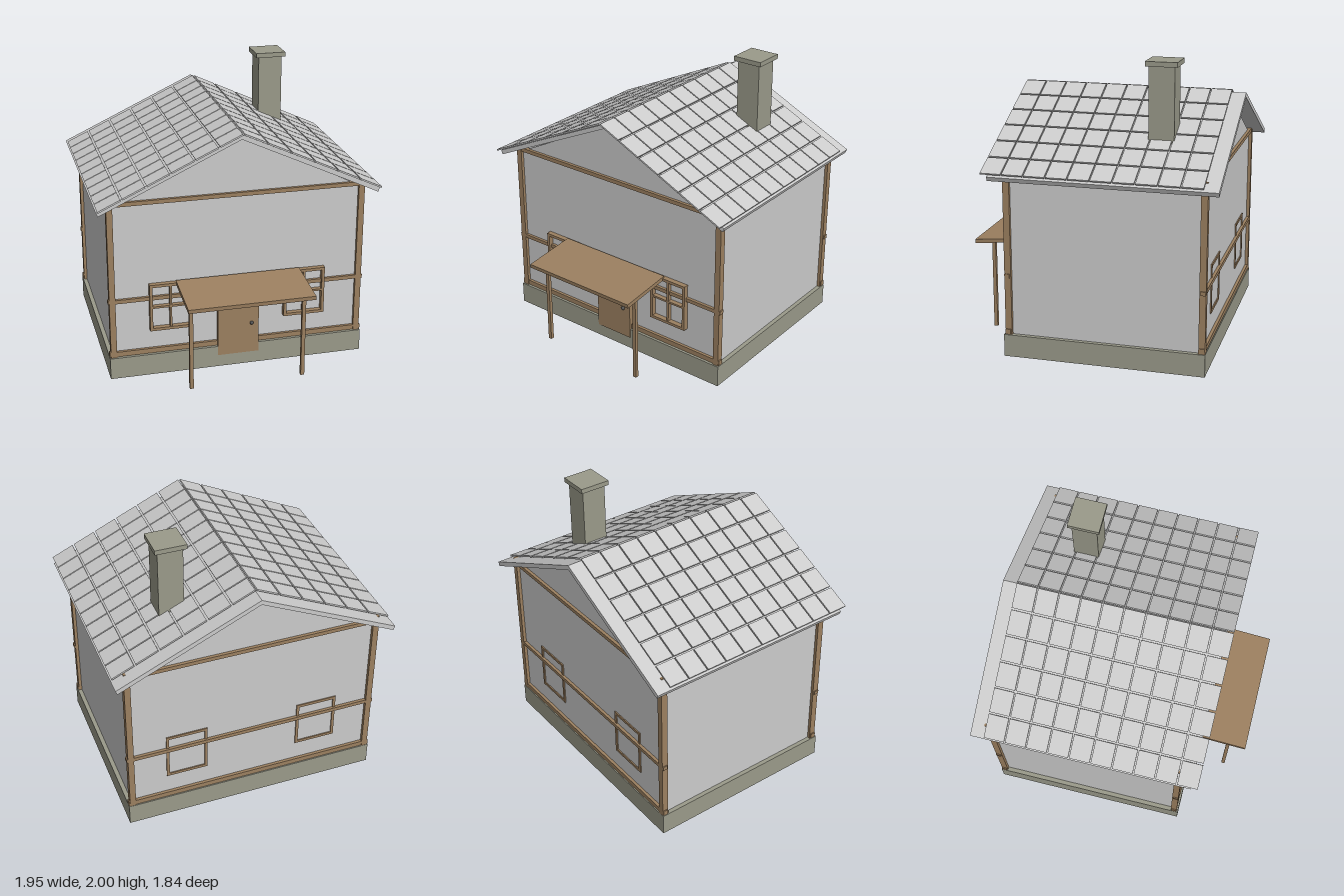
import * as THREE from 'three';

const wood = new THREE.MeshStandardMaterial({ color: 0x9c8060 });
const stone = new THREE.MeshStandardMaterial({ color: 0x9a9a8a });
const grey = new THREE.MeshStandardMaterial({ color: 0xcccccc });
const metal = new THREE.MeshStandardMaterial({ color: 0x555555 });

// Box given by its extents on each axis
function block(parent, name, mat, x0, x1, y0, y1, z0, z1) {
  const mesh = new THREE.Mesh(new THREE.BoxGeometry(x1 - x0, y1 - y0, z1 - z0), mat);
  mesh.position.set((x0 + x1) / 2, (y0 + y1) / 2, (z0 + z1) / 2);
  mesh.name = name;
  parent.add(mesh);
  return mesh;
}

// Outline in x/y pulled along z
function prism(parent, name, mat, points, z0, z1) {
  const shape = new THREE.Shape(points.map(([x, y]) => new THREE.Vector2(x, y)));
  const geo = new THREE.ExtrudeGeometry(shape, { depth: z1 - z0, bevelEnabled: false });
  const mesh = new THREE.Mesh(geo, mat);
  mesh.position.z = z0;
  mesh.name = name;
  parent.add(mesh);
}

function createWindow(name, cx, z0, z1, mullions) {
  const g = new THREE.Group();
  g.name = name;
  const w = 0.147, y0 = 0.335, y1 = 0.68, b = 0.02;
  for (const s of [-1, 1]) {
    const x = cx + s * (w - b / 2);
    block(g, 'windowJamb', wood, x - b / 2, x + b / 2, y0, y1, z0, z1);
  }
  block(g, 'windowSill', wood, cx - w, cx + w, y0, y0 + b, z0, z1);
  block(g, 'windowHead', wood, cx - w, cx + w, y1 - b, y1, z0, z1);
  if (mullions) {
    block(g, 'windowMullion', wood, cx - 0.007, cx + 0.007, y0 + b, y1 - b, z0, z1 - 0.006);
    block(g, 'windowCrossbar', wood, cx - w + b, cx + w - b, 0.502, 0.516, z0, z1 - 0.004);
  }
  return g;
}

function createRoof() {
  const roof = new THREE.Group();
  roof.name = 'roof';
  prism(roof, 'roofSlab', grey, [
    [0, 1.72], [-0.975, 1.266], [-0.962, 1.237], [0, 1.687], [0.962, 1.237], [0.975, 1.266],
  ], -0.92, 0.61);

  // Tiles: six courses of ten on each slope
  const pitch = THREE.MathUtils.degToRad(25);
  const tile = new THREE.BoxGeometry(0.151 / Math.cos(pitch), 0.011, 0.14);
  for (const s of [-1, 1]) {
    for (let i = 0; i < 6; i++) {
      for (let j = 0; j < 10; j++) {
        const x = 0.081 + i * 0.1625;
        const mesh = new THREE.Mesh(tile, grey);
        mesh.name = 'roofTile';
        mesh.position.set(s * x, 1.736 - x * Math.tan(pitch), -0.752 + j * 0.1486);
        mesh.rotation.z = -s * pitch;
        roof.add(mesh);
      }
    }
  }
  return roof;
}

function createPorch() {
  const porch = new THREE.Group();
  porch.name = 'porch';
  const canopy = block(porch, 'canopy', wood, -0.437, 0.437, 0.645, 0.673, 0.525, 0.918);
  canopy.rotation.x = THREE.MathUtils.degToRad(5.7);
  for (const s of [-1, 1]) {
    block(porch, 'canopyPost', wood, s * 0.393 - 0.013, s * 0.393 + 0.013, 0, 0.645, 0.777, 0.802);
  }
  return porch;
}

export function createModel() {
  const house = new THREE.Group();
  house.name = 'house';

  // Foundation, walls and gable
  block(house, 'foundation', stone, -0.905, 0.905, 0, 0.155, -0.84, 0.54);
  block(house, 'walls', grey, -0.875, 0.875, 0.155, 1.27, -0.815, 0.508);
  prism(house, 'gable', grey, [[-0.85, 1.262], [0.85, 1.262], [0, 1.69]], -0.814, 0.507);

  // Timber frame on the front and back walls
  for (const [side, z0, z1] of [['front', 0.485, 0.53], ['back', -0.838, -0.793]]) {
    for (const s of [-1, 1]) {
      const x = s * 0.876;
      block(house, side + 'CornerPost', wood, x - 0.021, x + 0.021, 0.155, 1.31, z0, z1);
    }
    const b0 = side === 'front' ? 0.493 : -0.836;
    const b1 = side === 'front' ? 0.528 : -0.801;
    block(house, side + 'SillBeam', wood, -0.905, 0.905, 0.16, 0.195, b0, b1);
    block(house, side + 'MiddleBeam', wood, -0.905, 0.905, 0.56, 0.587, b0, b1);
    block(house, side + 'TopBeam', wood, -0.876, 0.876, 1.26, 1.288, b0, b1);
  }

  // Windows
  for (const s of [-1, 1]) {
    house.add(createWindow('frontWindow', s * 0.475, 0.5, 0.545, true));
    house.add(createWindow('backWindow', s * 0.475, -0.823, -0.805, false));
  }

  // Door and knob
  block(house, 'door', wood, -0.146, 0.146, 0.09, 0.573, 0.505, 0.547);
  const knob = new THREE.Mesh(new THREE.SphereGeometry(0.013, 16, 12), metal);
  knob.name = 'doorKnob';
  knob.position.set(0.092, 0.32, 0.557);
  house.add(knob);

  house.add(createPorch(), createRoof());

  // Chimney
  block(house, 'chimney', stone, 0.385, 0.557, 1.42, 1.967, -0.542, -0.368);
  block(house, 'chimneyCap', stone, 0.363, 0.579, 1.967, 2, -0.563, -0.347);
  return house;
}
